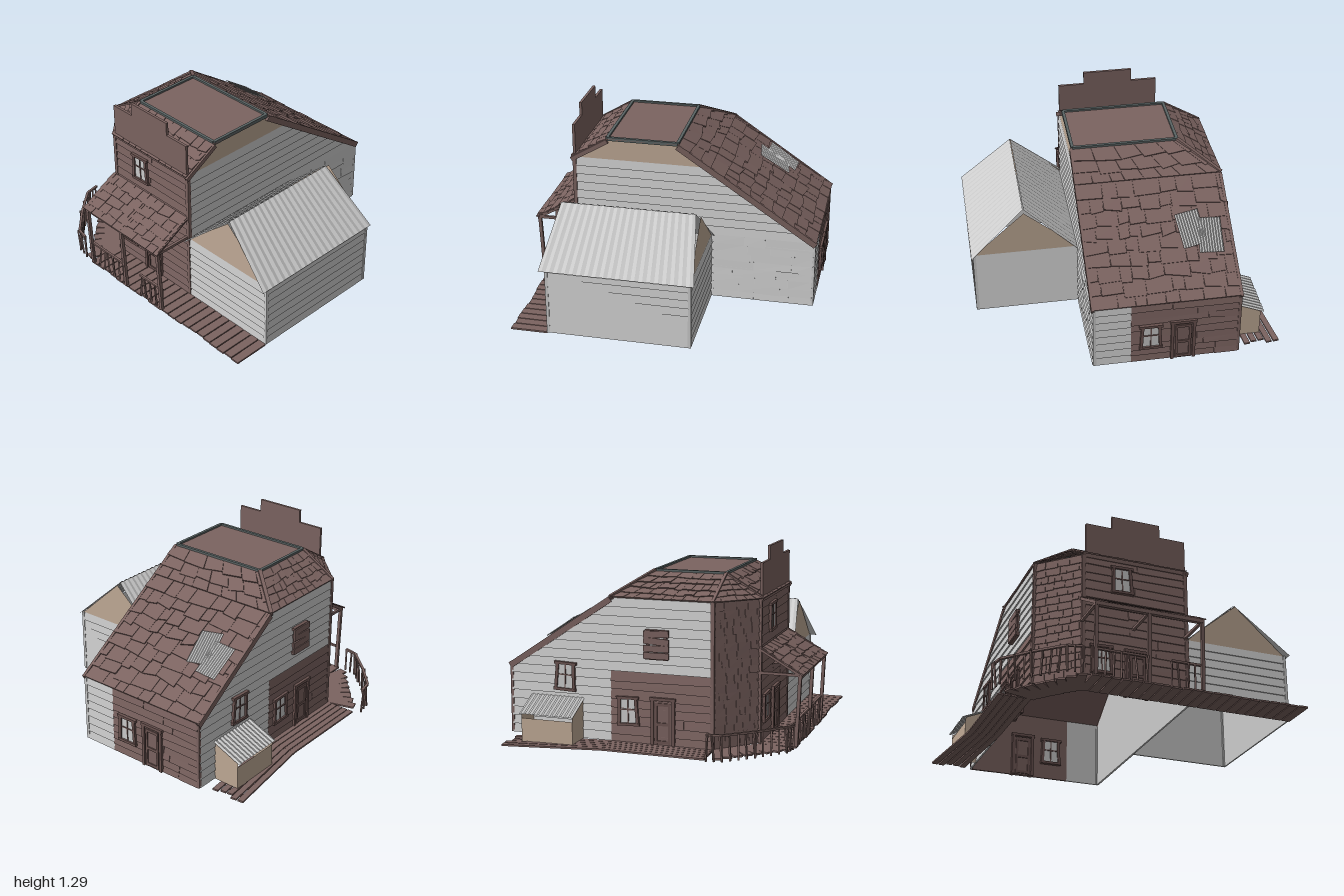
import * as THREE from 'three';

const mat = (color) => new THREE.MeshStandardMaterial({ color, flatShading: true, side: THREE.DoubleSide });
const GREY = mat(0xcccccc), BROWN = mat(0x7b6360), TAN = mat(0xc0aa96), TRIM = mat(0x5a6464), DARK = mat(0x6a5350);
const V = (x, y, z) => new THREE.Vector3(x, y, z);

export function createModel() {
  const model = new THREE.Group();
  let seed = 7;
  const rnd = () => (seed = (seed * 16807) % 2147483647) / 2147483647;

  // Mesh from a list of four-cornered faces
  function quads(name, material, list) {
    const pos = [];
    for (const [a, b, c, d] of list) for (const p of [a, b, c, a, c, d]) pos.push(p.x, p.y, p.z);
    const g = new THREE.BufferGeometry();
    g.setAttribute('position', new THREE.Float32BufferAttribute(pos, 3));
    g.computeVertexNormals();
    const m = new THREE.Mesh(g, material);
    m.name = name;
    model.add(m);
    return m;
  }
  const normalOf = (a, b, c) => b.clone().sub(a).cross(c.clone().sub(a)).normalize();
  // Point inside a surface with corners bottom left, bottom right, top right, top left
  const at = ([a, b, c, d], u, v) => a.clone().lerp(b, u).lerp(d.clone().lerp(c, u), v);

  // Overlapping rows of boards or shingles; piece = 0 gives one long board per row
  function courses(name, material, corners, rows, piece, thick, rough = 0) {
    const n = normalOf(corners[0], corners[1], corners[2]);
    const list = [corners];
    for (let r = 0; r < rows; r++) {
      const v0 = r / rows, v1 = (r + 1) / rows;
      const width = at(corners, 0, v0).distanceTo(at(corners, 1, v0));
      let u = 0;
      while (u < 1) {
        let u1 = piece ? u + piece * (0.6 + rnd() * 0.9) / width : 1;
        if (u1 > 1 - 0.3 * piece / width) u1 = 1;
        const sag = () => Math.max(0, v0 - rough * rnd() / rows);
        const gap = piece ? 0.003 / width : 0;
        const q = [at(corners, u, sag()), at(corners, u1 - gap, sag()), at(corners, u1 - gap, v1), at(corners, u, v1)];
        const t = thick * (1 - rough * rnd());
        const o = q.map((p, i) => p.clone().addScaledVector(n, i < 2 ? t : t * 0.2));
        list.push(o, [q[0], q[1], o[1], o[0]], [q[1], q[2], o[2], o[1]], [q[3], q[0], o[0], o[3]]);
        u = u1;
      }
    }
    return quads(name, material, list);
  }
  // Corrugated metal sheet with ribs running up the slope
  function corrugated(name, corners, ribs, amp) {
    const n = normalOf(corners[0], corners[1], corners[2]);
    const p = (i, v) => at(corners, i / ribs, v).addScaledVector(n, i % 2 ? amp : 0);
    quads(name, GREY, Array.from({ length: ribs }, (_, i) => [p(i, 0), p(i + 1, 0), p(i + 1, 1), p(i, 1)]));
  }
  // Straight timber between two points
  function beam(name, p, q, w, h, material = BROWN) {
    const m = new THREE.Mesh(new THREE.BoxGeometry(w, h, p.distanceTo(q)), material);
    m.position.copy(p).lerp(q, 0.5);
    m.lookAt(q);
    m.name = name;
    model.add(m);
  }
  function box(parent, w, h, d, x, y, z, material) {
    const m = new THREE.Mesh(new THREE.BoxGeometry(w, h, d), material);
    m.position.set(x, y, z);
    parent.add(m);
    return m;
  }
  // Openings: local x runs along the wall, local z points out of it
  function opening(name, pos, turn, tilt) {
    const g = new THREE.Group();
    g.name = name;
    g.position.copy(pos);
    g.rotation.set(0, turn, tilt);
    model.add(g);
    return g;
  }
  function windowAt(pos, turn, tilt = 0.03, boarded = false) {
    const g = opening('window', pos, turn, tilt);
    box(g, 0.11, 0.16, 0.03, 0, 0, 0, GREY);
    for (const s of [-1, 1]) {
      box(g, 0.02, 0.18, 0.05, s * 0.06, 0, 0, DARK).rotation.z = s * 0.05;
      box(g, 0.155, 0.018, 0.055, 0, s * 0.088, 0, DARK);
    }
    box(g, 0.008, 0.16, 0.04, 0, 0, 0, DARK);
    box(g, 0.11, 0.008, 0.04, 0, 0.01, 0, DARK);
    if (boarded) for (let i = 0; i < 4; i++)
      box(g, 0.17, 0.042, 0.012, 0, -0.07 + i * 0.047, 0.03, BROWN).rotation.z = (rnd() - 0.5) * 0.15;
  }
  function doorAt(pos, turn) {
    const g = opening('door', pos, turn, 0);
    box(g, 0.12, 0.29, 0.03, 0, 0.145, 0, BROWN);
    for (const s of [-1, 1]) {
      box(g, 0.02, 0.3, 0.05, s * 0.072, 0.15, 0, DARK);
      box(g, 0.016, 0.27, 0.045, s * 0.045, 0.14, 0, DARK);
    }
    box(g, 0.175, 0.02, 0.055, 0, 0.305, 0, DARK);
    for (const y of [0.02, 0.14, 0.27]) box(g, 0.1, 0.02, 0.045, 0, y, 0, DARK);
  }

  const L = -0.69, R = 0.95, F = 0.27, B = -0.69, y0 = 0.02, e = 0.49, t = 0.97, top = 1.12;

  // Main house walls
  courses('frontWallLower', GREY, [V(L, y0, F), V(R, y0, F), V(R, e, F), V(L, e, F)], 8, 0, 0.012);
  courses('frontWallUpper', GREY, [V(L, e, F), V(R, e, F), V(0.24, t, F), V(L, t, F)], 8, 0, 0.012);
  courses('frontWallWeathered', GREY, [V(0.27, y0, F + 0.004), V(R, y0, F + 0.004), V(R, e, F + 0.004), V(0.27, e, F + 0.004)], 8, 0.2, 0.012, 0.25);
  quads('frontGable', TAN, [[V(L, t, F), V(0.24, t, F), V(0.02, top, F), V(-0.46, top, F)]]);
  courses('backWallLower', GREY, [V(R, y0, B), V(0.24, y0, B), V(0.24, e, B), V(R, e, B)], 8, 0, 0.012);
  courses('backShopFront', BROWN, [V(0.24, y0, B), V(-0.45, y0, B), V(-0.45, e, B), V(0.24, e, B)], 8, 0.5, 0.016, 0.2);
  courses('backWallUpper', GREY, [V(R, e, B), V(-0.45, e, B), V(-0.45, t, B), V(0.24, t, B)], 8, 0, 0.012);
  courses('cornerWall', BROWN, [V(-0.45, y0, B), V(L, y0, -0.44), V(L, t, -0.44), V(-0.45, t, B)], 18, 0.07, 0.01, 0.2);
  courses('leftWall', BROWN, [V(L, y0, -0.44), V(L, y0, F), V(L, t, F), V(L, t, -0.44)], 16, 0.5, 0.012, 0.2);
  courses('rightWallGrey', GREY, [V(R, y0, F), V(R, y0, 0.03), V(R, e, 0.03), V(R, e, F)], 8, 0, 0.01);
  courses('rightWallBrown', BROWN, [V(R, y0, 0.03), V(R, y0, B), V(R, e, B), V(R, e, 0.03)], 9, 0.4, 0.014, 0.25);

  // Front annex walls and gables
  const ax = 0.25, az = 0.98, ey = 0.48;
  courses('annexFront', GREY, [V(L, y0, az), V(ax, y0, az), V(ax, ey, az), V(L, ey, az)], 8, 0, 0.01);
  courses('annexRight', GREY, [V(ax, y0, az), V(ax, y0, F), V(ax, ey, F), V(ax, ey, az)], 8, 0, 0.01);
  courses('annexLeft', GREY, [V(L, y0, F), V(L, y0, az), V(L, ey, az), V(L, ey, F)], 8, 0, 0.01);
  for (const x of [L, ax]) quads('annexGable', TAN, [[V(x, ey, az), V(x, ey, F), V(x, 0.79, 0.635), V(x, 0.79, 0.635)]]);
  for (const [x, z] of [[ax, az], [L, az], [R, F]]) beam('cornerPost', V(x, y0, z), V(x, ey, z), 0.02, 0.02, GREY);
  for (const z of [-0.44, F]) beam('cornerPost', V(L, y0, z), V(L, t, z), 0.025, 0.025);
  beam('cornerPost', V(-0.45, y0, B), V(-0.45, t, B), 0.025, 0.025);
  beam('cornerPost', V(R, y0, B), V(R, e, B), 0.02, 0.02);

  // Annex metal roof
  corrugated('annexRoofFront', [V(-0.74, 0.47, 1), V(0.28, 0.47, 1), V(0.22, 0.8, 0.635), V(-0.68, 0.8, 0.635)], 40, 0.006);
  corrugated('annexRoofBack', [V(0.28, 0.47, F), V(-0.74, 0.47, F), V(-0.68, 0.8, 0.635), V(0.22, 0.8, 0.635)], 40, 0.006);

  // Shingled main roof: long right slope, hipped back and corner, left slope, flat top
  const G = -0.44, xa = -0.46, xb = 0.02;
  const hip = V(0.24, t, -0.7);
  courses('roofRightLower', BROWN, [V(0.96, 0.485, 0.29), V(0.96, 0.485, -0.7), hip, V(0.24, t, 0.29)], 9, 0.12, 0.015, 0.35);
  courses('roofRightUpper', BROWN, [V(0.24, t, 0.29), hip, V(xb, top, G), V(xb, top, 0.29)], 3, 0.12, 0.015, 0.35);
  courses('roofBack', BROWN, [hip, V(-0.45, t, -0.7), V(xa, top, G), V(xb, top, G)], 5, 0.08, 0.013, 0.35);
  courses('roofCorner', BROWN, [V(-0.45, t, -0.7), V(-0.71, t, G), V(xa, top, G), V(xa, top, G)], 5, 0.08, 0.012, 0.3);
  courses('roofLeft', BROWN, [V(-0.71, t, G), V(-0.71, t, 0.28), V(xa, top, 0.28), V(xa, top, G)], 4, 0.08, 0.013, 0.35);
  courses('roofTop', BROWN, [V(xa, top, 0.28), V(xa, top, G), V(xb, top, G), V(xb, top, 0.28)], 6, 0.1, 0.009, 0.35);
  const rim = [V(xa, top, G), V(xb, top, G), V(xb, top, 0.27), V(xa, top, 0.27)];
  rim.forEach((p, i) => beam('roofRim', p, rim[(i + 1) % 4], 0.02, 0.025, TRIM));
  for (const z of [0.28, -0.695])
    beam('bargeBoard', V(0.96, 0.475, z), z > 0 ? V(xb, top - 0.015, z) : V(0.24, t - 0.01, z), 0.02, 0.04);
  beam('bargeBoard', V(-0.71, t - 0.015, 0.28), V(xa, top - 0.015, 0.28), 0.02, 0.03);
  beam('hipCap', hip, V(xb, top, G), 0.025, 0.03);
  for (const p of [V(-0.45, t, -0.7), V(-0.71, t, G)]) beam('hipCap', p, V(xa, top, G), 0.02, 0.025);

  // Metal patches on the right slope
  for (const [x, z, turn] of [[0.62, -0.55, -0.05], [0.575, -0.43, 0.15]]) {
    const c = [[0.1, 0.08], [0.1, -0.08], [-0.1, -0.08], [-0.1, 0.08]].map(([dx, dz]) => {
      const px = x + dx * Math.cos(turn) + dz * Math.sin(turn);
      return V(px, top - (px - xb) * 0.677 + 0.03, z - dx * Math.sin(turn) + dz * Math.cos(turn));
    });
    corrugated('roofPatch', c, 18, 0.007);
  }

  // Stepped false front above the left wall
  const sign = new THREE.Shape([[-0.43, 0.95], [0.27, 0.95], [0.27, 1.2], [0.09, 1.2], [0.09, 1.29], [-0.25, 1.29], [-0.25, 1.2], [-0.43, 1.2]]
    .map(([z, y]) => new THREE.Vector2(z, y)));
  const board = new THREE.Mesh(new THREE.ExtrudeGeometry(sign, { depth: 0.018, bevelEnabled: false }), BROWN);
  board.name = 'falseFront';
  board.rotation.y = -Math.PI / 2;
  board.position.x = -0.683;
  model.add(board);

  // Windows and doors
  const toBack = Math.PI, toLeft = -Math.PI / 2, toRight = Math.PI / 2;
  windowAt(V(R, 0.225, -0.1), toRight, 0);
  doorAt(V(R, y0, -0.315), toRight);
  windowAt(V(0.12, 0.23, B), toBack);
  doorAt(V(-0.12, y0, B), toBack);
  windowAt(V(0.56, 0.43, B), toBack, -0.04);
  windowAt(V(-0.08, 0.68, B), toBack, 0, true);
  windowAt(V(L, 0.82, -0.18), toLeft);
  windowAt(V(L, 0.24, -0.32), toLeft);
  doorAt(V(L, y0, -0.08), toLeft);

  // Left porch
  courses('porchRoof', BROWN, [V(-0.98, e, -0.47), V(-0.98, e, 0.28), V(-0.7, 0.65, 0.28), V(-0.7, 0.65, -0.47)], 5, 0.1, 0.012, 0.35);
  beam('porchBeam', V(-0.96, 0.485, -0.46), V(-0.96, 0.485, 0.27), 0.025, 0.025);
  for (const z of [-0.45, -0.1, 0.26]) {
    beam('porchPost', V(-0.94, y0, z), V(-0.96, e, z), 0.022, 0.022);
    beam('porchTie', V(-0.97, e, z), V(L, e, z), 0.018, 0.018);
    beam('porchRafter', V(-0.97, e, z), V(L, 0.65, z), 0.018, 0.025);
  }
  // Railings
  function railing(p, q, n) {
    const up = V(0, 0.17, 0);
    beam('rail', p.clone().add(up), q.clone().add(up), 0.016, 0.014);
    for (let i = 0; i <= n; i++) {
      const foot = p.clone().lerp(q, i / n);
      beam('baluster', foot, foot.clone().add(V((rnd() - 0.5) * 0.04, 0.17, (rnd() - 0.5) * 0.03)), 0.011, 0.011);
    }
  }
  railing(V(-0.94, y0, -0.44), V(-0.94, y0, -0.12), 6);
  railing(V(-0.94, y0, 0.05), V(-0.94, y0, 0.26), 4);
  const bend = [V(-0.94, y0, -0.53), V(-0.92, y0, -0.62), V(-0.76, y0, -0.79), V(-0.59, y0, -0.94), V(-0.49, y0, -0.96)];
  for (let i = 0; i < 4; i++) railing(bend[i], bend[i + 1], i % 3 ? 4 : 2);

  // Boardwalk: left side, fanned corner, back, and the sagging end
  for (let i = 0; i < 22; i++) {
    const z = -0.44 + i * 0.0665;
    beam('deckBoard', V(-0.95 + rnd() * 0.015, 0.016, z), V(-0.7, 0.016, z), 0.06, 0.012);
  }
  for (let i = 0; i < 8; i++) {
    const k = (i + 0.5) / 8;
    beam('cornerDeckBoard', V(-0.7, 0.015, -0.46).lerp(V(-0.46, 0.015, -0.68), k), V(-0.95, 0.015, -0.5).lerp(V(-0.51, 0.015, -0.9), k), 0.06, 0.012);
  }
  for (let i = 0; i < 5; i++) {
    const z = -0.715 - i * 0.044;
    beam('backDeckBoard', V(-0.46, 0.015, z), V(0.23, 0.015, z), 0.039, 0.012);
    beam('saggingDeckBoard', V(0.23, 0.015, z), V(0.87 + rnd() * 0.05, 0.008, z - 0.06 - i * 0.006), 0.039, 0.012);
  }

  // Lean-to box behind the house
  quads('leanToWalls', TAN, [
    [V(0.8, 0.015, -0.88), V(0.44, 0.015, -0.88), V(0.44, 0.17, -0.88), V(0.8, 0.17, -0.88)],
    ...[0.44, 0.8].map((x) => [V(x, 0.015, B), V(x, 0.015, -0.88), V(x, 0.2, -0.88), V(x, 0.285, B)]),
  ]);
  corrugated('leanToRoof', [V(0.81, 0.2, -0.9), V(0.43, 0.2, -0.9), V(0.43, 0.29, B), V(0.81, 0.29, B)], 24, 0.007);
  return model;
}
